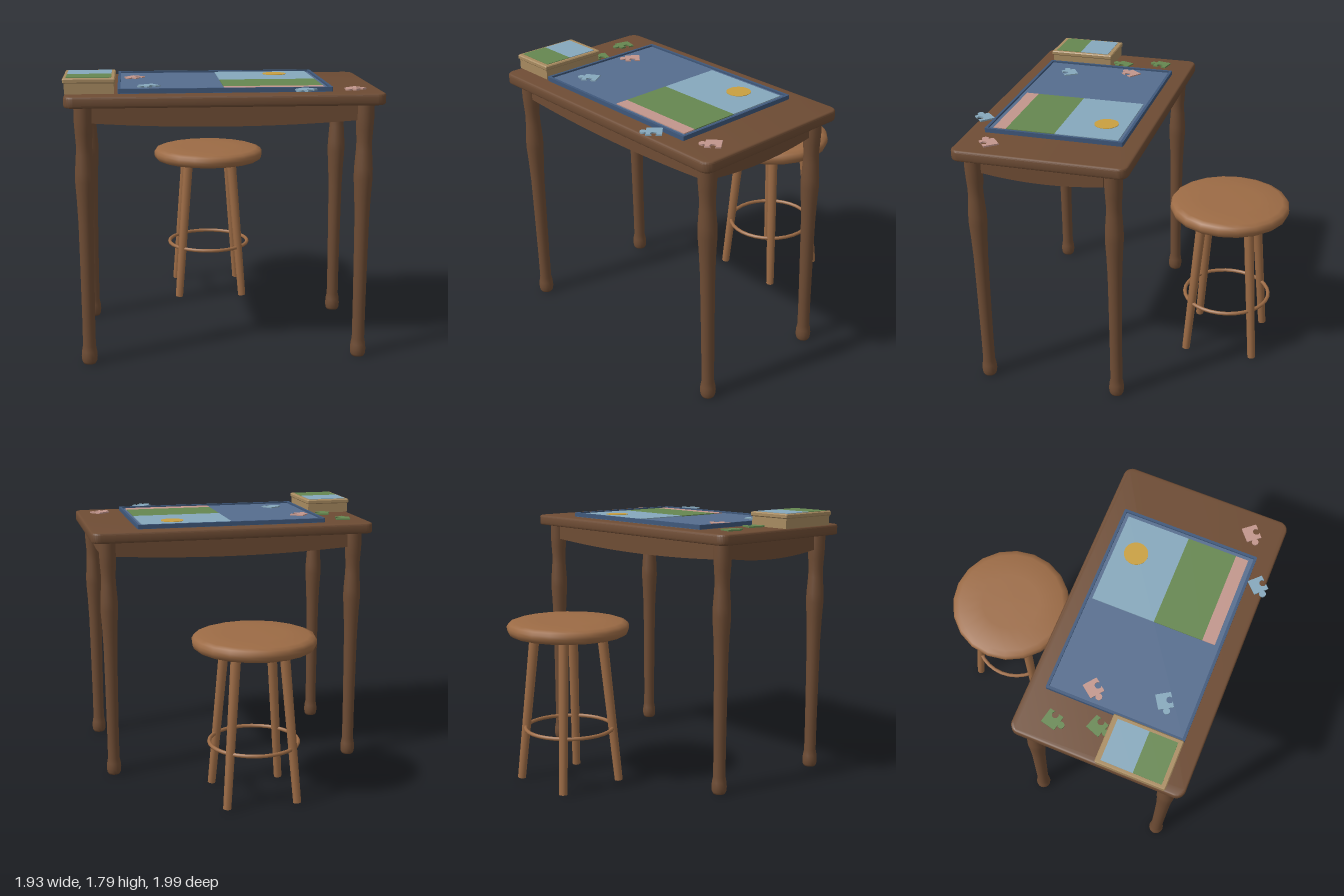
import * as THREE from 'three';
import { toCreasedNormals } from 'three/addons/utils/BufferGeometryUtils.js';

const mat = (color) => new THREE.MeshStandardMaterial({ color });
const V2 = (x, y) => new THREE.Vector2(x, y);

const M = {
  darkWood: mat(0x6e4c34), stoolWood: mat(0x9c6b45), felt: mat(0x566d8e), rim: mat(0x3f587b),
  sky: mat(0x86a8bc), green: mat(0x668750), pink: mat(0xc2968c), sun: mat(0xc9a040), card: mat(0xa88b60),
};

function add(parent, name, geometry, material, x = 0, y = 0, z = 0) {
  const mesh = new THREE.Mesh(geometry, material);
  mesh.name = name;
  mesh.position.set(x, y, z);
  parent.add(mesh);
  return mesh;
}

// Box given by its ranges along each axis
function slab(parent, name, material, x0, x1, y0, y1, z0, z1) {
  return add(parent, name, new THREE.BoxGeometry(x1 - x0, y1 - y0, z1 - z0), material,
    (x0 + x1) / 2, (y0 + y1) / 2, (z0 + z1) / 2);
}

function roundedRect(w, d, r) {
  const s = new THREE.Shape(), a = w / 2, b = d / 2;
  s.absarc(a - r, b - r, r, 0, Math.PI / 2);
  s.absarc(-a + r, b - r, r, Math.PI / 2, Math.PI);
  s.absarc(-a + r, -b + r, r, Math.PI, Math.PI * 1.5);
  s.absarc(a - r, -b + r, r, Math.PI * 1.5, Math.PI * 2);
  s.closePath();
  return s;
}

// Board with a gently bowed lower edge, centred in thickness
function apronGeometry(width) {
  const a = width / 2, t = 0.05, s = new THREE.Shape();
  s.moveTo(-a, 1.63);
  s.lineTo(-a, 1.52);
  s.quadraticCurveTo(0, 1.462, a, 1.52);
  s.lineTo(a, 1.63);
  s.closePath();
  return new THREE.ExtrudeGeometry(s, { depth: t, bevelEnabled: false, curveSegments: 16 }).translate(0, 0, -t / 2);
}

function makeTable() {
  const g = new THREE.Group();
  g.name = 'table';
  const cz = 0.41, legX = 0.85, legZ = 0.447, bevel = 0.014;

  // Top with rounded corners and softened edges
  const top = new THREE.ExtrudeGeometry(roundedRect(1.924 - 2 * bevel, 1.116 - 2 * bevel, 0.045), {
    depth: 0.07 - 2 * bevel, bevelThickness: bevel, bevelSize: bevel, bevelSegments: 3, curveSegments: 6,
  }).rotateX(-Math.PI / 2);
  add(g, 'tableTop', toCreasedNormals(top, 0.6), M.darkWood, 0, 1.62 + bevel, cz);

  // Turned legs
  const profile = [[0, 0], [0.04, 0], [0.047, 0.015], [0.05, 0.045], [0.047, 0.08], [0.04, 0.115], [0.04, 0.3],
    [0.043, 0.65], [0.046, 0.9], [0.052, 1.05], [0.059, 1.16], [0.058, 1.22], [0.05, 1.33], [0.048, 1.39],
    [0.053, 1.46], [0.057, 1.53], [0.057, 1.63]].map(([r, y]) => V2(r, y));
  const leg = new THREE.LatheGeometry(profile, 16);
  for (const sx of [-1, 1]) for (const sz of [-1, 1]) add(g, 'tableLeg', leg, M.darkWood, sx * legX, 0, cz + sz * legZ);

  // Aprons between the legs
  for (const s of [-1, 1]) {
    add(g, 'longApron', apronGeometry(1.62), M.darkWood, 0, 0, cz + s * legZ);
    add(g, 'shortApron', apronGeometry(0.78), M.darkWood, s * legX, 0, cz).rotation.y = Math.PI / 2;
  }
  return g;
}

function makeStool() {
  const g = new THREE.Group();
  g.name = 'stool';
  g.position.z = -0.6;

  // Cushioned round seat
  const profile = [[0, 1], [0.375, 1], [0.392, 1.012], [0.4, 1.035], [0.4, 1.055], [0.388, 1.075],
    [0.355, 1.086], [0.2, 1.09], [0, 1.09]].map(([r, y]) => V2(r, y));
  add(g, 'seat', toCreasedNormals(new THREE.LatheGeometry(profile, 20), 0.9), M.stoolWood);

  // Splayed legs
  const up = new THREE.Vector3(0, 1, 0);
  for (const sx of [-1, 1]) for (const sz of [-1, 1]) {
    const foot = new THREE.Vector3(sx * 0.232, 0.006, sz * 0.232);
    const head = new THREE.Vector3(sx * 0.156, 1.01, sz * 0.156);
    const dir = head.clone().sub(foot);
    const leg = add(g, 'stoolLeg', new THREE.CylinderGeometry(0.034, 0.027, dir.length(), 8), M.stoolWood);
    leg.position.copy(foot).add(head).multiplyScalar(0.5);
    leg.quaternion.setFromUnitVectors(up, dir.normalize());
  }

  // Foot ring
  add(g, 'footRing', new THREE.TorusGeometry(0.291, 0.013, 8, 32).rotateX(Math.PI / 2), M.stoolWood, 0, 0.366, 0);
  return g;
}

// Horizontal bands of a landscape, given as [material, z0, z1]
function picture(parent, x0, x1, y0, y1, bands) {
  for (const [m, z0, z1] of bands) slab(parent, 'pictureBand', m, x0, x1, y0, y1, z0, z1);
}

function makePuzzleMat() {
  const g = new THREE.Group();
  g.name = 'puzzleMat';
  slab(g, 'matBase', M.felt, -0.64, 0.645, 1.688, 1.708, -0.035, 0.85);

  // Raised rim
  const rim = roundedRect(1.295, 0.895, 0.008);
  rim.holes.push(new THREE.Path().setFromPoints([V2(-0.63, -0.43), V2(-0.63, 0.43), V2(0.63, 0.43), V2(0.63, -0.43)]));
  add(g, 'matRim', new THREE.ExtrudeGeometry(rim, { depth: 0.028, bevelEnabled: false, curveSegments: 2 })
    .rotateX(-Math.PI / 2), M.rim, 0.003, 1.692, 0.408);

  // Finished half of the puzzle
  picture(g, 0, 0.61, 1.705, 1.714, [[M.sky, 0, 0.41], [M.green, 0.41, 0.728], [M.pink, 0.728, 0.81]]);
  add(g, 'sun', new THREE.CylinderGeometry(0.077, 0.077, 0.004, 24), M.sun, 0.385, 1.715, 0.14);
  return g;
}

function makeBox() {
  const g = new THREE.Group();
  g.name = 'puzzleBox';
  slab(g, 'boxBody', M.card, -0.96, -0.665, 1.69, 1.757, 0.42, 0.845);
  const lid = new THREE.ExtrudeGeometry(roundedRect(0.302, 0.432, 0.004), {
    depth: 0.018, bevelThickness: 0.006, bevelSize: 0.006, bevelSegments: 1, curveSegments: 2,
  }).rotateX(-Math.PI / 2);
  add(g, 'boxLid', lid, M.card, -0.813, 1.76, 0.633);
  picture(g, -0.95, -0.68, 1.78, 1.787, [[M.sky, 0.443, 0.645], [M.green, 0.645, 0.825]]);
  return g;
}

// Jigsaw piece: a square with a round tab on one side and a round notch on the next
function pieceGeometry() {
  const h = 0.048, n = 0.021, s = new THREE.Shape();
  s.moveTo(-h, h);
  s.lineTo(-h, -h);
  s.lineTo(-0.012, -h);
  s.absarc(0, -h - 0.016, n, Math.PI * 0.7, Math.PI * 2.3);
  s.lineTo(0.012, -h);
  s.lineTo(h, -h);
  s.lineTo(h, -0.012);
  s.absarc(h - 0.016, 0, n, -Math.PI * 0.2, Math.PI * 0.2, true);
  s.lineTo(h, 0.012);
  s.lineTo(h, h);
  s.closePath();
  return new THREE.ExtrudeGeometry(s, { depth: 0.01, bevelEnabled: false, curveSegments: 8 }).rotateX(-Math.PI / 2);
}

export function createModel() {
  const model = new THREE.Group();
  model.name = 'puzzleTable';
  model.add(makeTable(), makeStool(), makePuzzleMat(), makeBox());

  // Loose pieces: material, x, y, z, turn in degrees
  const piece = pieceGeometry();
  const loose = [
    [M.green, -0.808, 1.692, 0.075, 13], [M.green, -0.743, 1.692, 0.34, 20], [M.pink, -0.537, 1.706, 0.23, 38],
    [M.sky, -0.45, 1.706, 0.655, 58], [M.pink, 0.805, 1.692, 0.765, 50], [M.sky, 0.475, 1.709, 0.922, 45],
  ];
  for (const [m, x, y, z, turn] of loose) {
    add(model, 'loosePiece', piece, m, x, y, z).rotation.y = -THREE.MathUtils.degToRad(turn);
  }
  return model;
}
